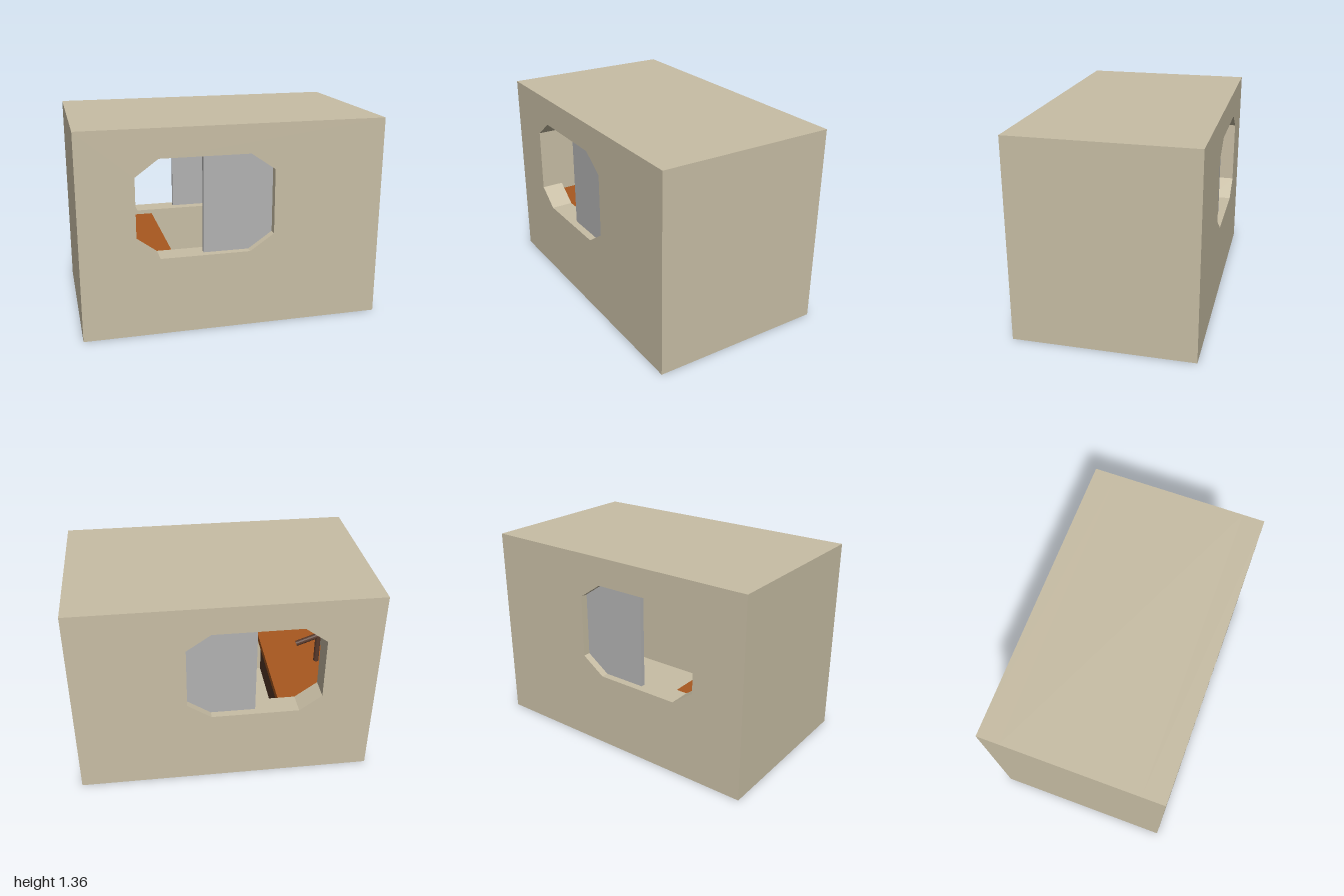
import * as THREE from 'three';

const W = 2, H = 1.36, D = 1.2, WALL = 0.15;

const mat = (color) => new THREE.MeshStandardMaterial({ color, flatShading: true });
const stone = mat(0xc8bea5);
const steel = mat(0xb2b2b2);
const wood = mat(0xa8581f);
const darkWood = mat(0x57382a);
const iron = mat(0x55555a);

const polygon = (points) => points.map(([x, y]) => new THREE.Vector2(x, y));
const rectangle = (x0, y0, x1, y1) => polygon([[x0, y0], [x1, y0], [x1, y1], [x0, y1]]);

export function createModel() {
  const model = new THREE.Group();

  const add = (name, geometry, material, x = 0, y = 0, z = 0) => {
    const mesh = new THREE.Mesh(geometry, material);
    mesh.name = name;
    mesh.position.set(x, y, z);
    model.add(mesh);
    return mesh;
  };
  const box = (name, material, x0, x1, y0, y1, z0, z1) =>
    add(name, new THREE.BoxGeometry(x1 - x0, y1 - y0, z1 - z0), material,
      (x0 + x1) / 2, (y0 + y1) / 2, (z0 + z1) / 2);
  const rod = (name, material, radius, from, to) => {
    const a = new THREE.Vector3(...from), b = new THREE.Vector3(...to);
    const dir = b.clone().sub(a);
    const mesh = add(name, new THREE.CylinderGeometry(radius, radius, dir.length(), 12), material);
    mesh.position.copy(a).add(b).multiplyScalar(0.5);
    mesh.quaternion.setFromUnitVectors(new THREE.Vector3(0, 1, 0), dir.normalize());
    return mesh;
  };
  const extrudeWithHole = (outline, hole, depth) => {
    const shape = new THREE.Shape(outline);
    shape.holes.push(new THREE.Path(hole));
    return new THREE.ExtrudeGeometry(shape, { depth, bevelEnabled: false });
  };

  // Floor, ceiling and side walls around a hollow room
  const outer = rectangle(-W / 2, 0, W / 2, H);
  const room = rectangle(-0.83, 0.12, 0.83, 1.24);
  add('roomShell', extrudeWithHole(outer, room, D - 2 * WALL), stone, 0, 0, -D / 2 + WALL);

  // Front and back walls with chamfered windows and half-open sliding panels
  const opening = polygon([
    [-0.49, 0.52], [0.10, 0.52], [0.26, 0.63], [0.26, 1.06],
    [0.10, 1.17], [-0.49, 1.17], [-0.64, 1.06], [-0.64, 0.63],
  ]);
  for (const [side, s] of [['front', 1], ['back', -1]]) {
    add(`${side}Wall`, extrudeWithHole(outer, opening, WALL), stone,
      0, 0, s > 0 ? D / 2 - WALL : -D / 2);
    const z = s * (D / 2 - 0.065);
    box(`${side}SlidingPanel`, steel, -0.2, 0.3, 0.49, 1.2, z - 0.015, z + 0.015);
  }

  // Wooden bench along the right wall
  box('benchTop', wood, -0.83, -0.38, 0.44, 0.49, -0.45, 0.45);
  box('benchBase', darkWood, -0.83, -0.42, 0.12, 0.44, -0.45, 0.45);

  // Tilted handle on the bench
  rod('handle', darkWood, 0.02, [-0.78, 0.72, 0], [-0.59, 0.65, 0]);
  rod('handlePost', darkWood, 0.02, [-0.75, 0.49, 0], [-0.75, 0.71, 0]);

  // Short iron tubes beneath the ceiling
  for (const z of [0.03, -0.21]) {
    rod('ironTube', iron, 0.035, [-0.72, 1.2, z - 0.06], [-0.72, 1.2, z + 0.06]);
  }

  return model;
}
